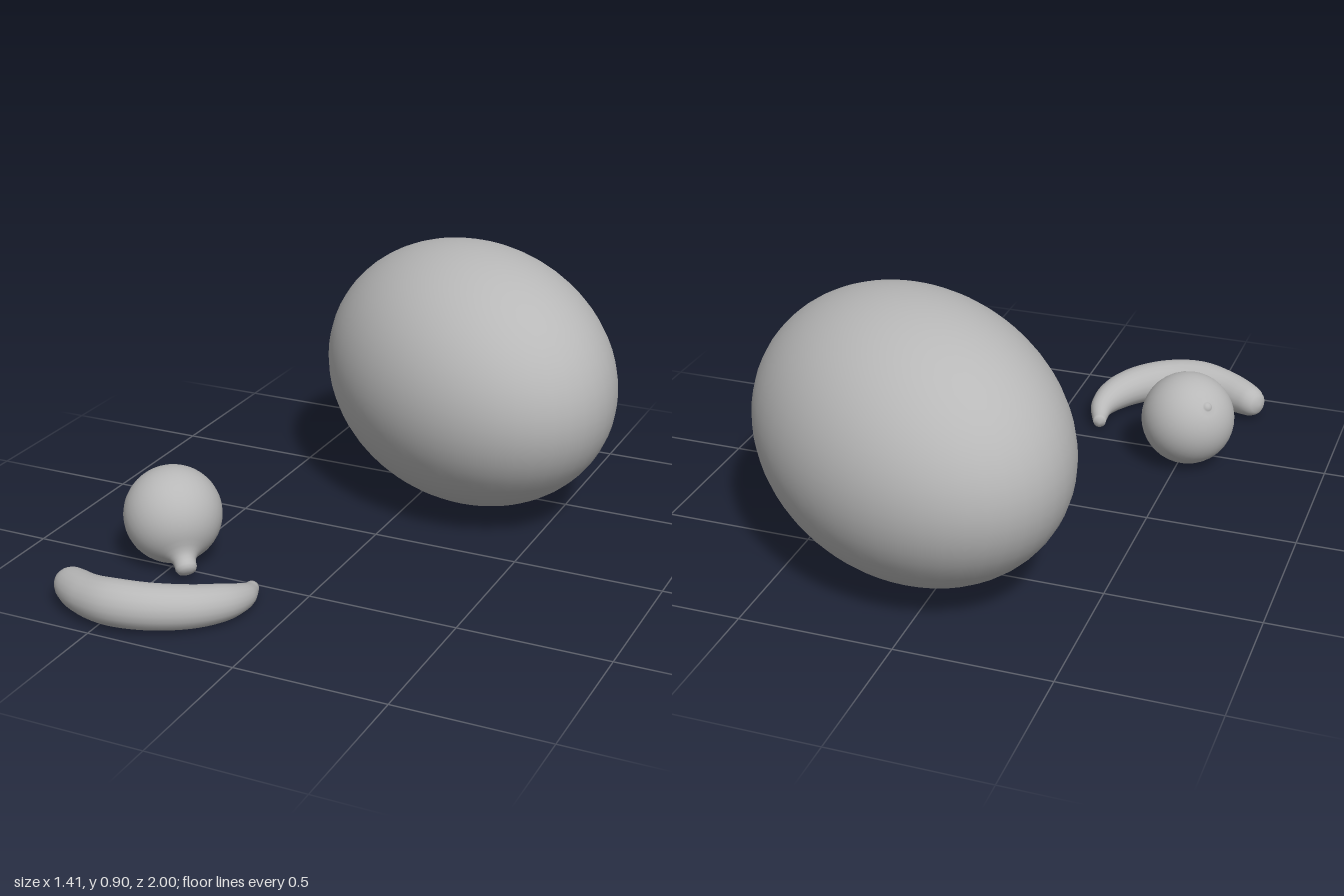
import * as THREE from 'three';
import { mergeVertices } from 'three/addons/utils/BufferGeometryUtils.js';

const grey = new THREE.MeshStandardMaterial({ color: 0xb8b8b8 });
grey.name = 'plain grey';

function part(name, geometry) {
  const mesh = new THREE.Mesh(geometry, grey);
  mesh.name = name;
  return mesh;
}

// Weld the seams so that the normals run smoothly all round
function smooth(geometry) {
  geometry.deleteAttribute('uv');
  geometry.deleteAttribute('normal');
  const welded = mergeVertices(geometry, 1e-5);
  welded.computeVertexNormals();
  return welded;
}

// Tube whose radius follows the stations [x, y, z, radius]
function taperedTube(stations, segments, sides) {
  const path = new THREE.CatmullRomCurve3(stations.map(([x, y, z]) => new THREE.Vector3(x, y, z)));
  const radii = new THREE.CatmullRomCurve3(stations.map((s, i) => new THREE.Vector3(s[3], i * 0.1, 0)));
  const geometry = new THREE.TubeGeometry(path, segments, 1, sides);
  const pos = geometry.attributes.position;
  const p = new THREE.Vector3();
  for (let i = 0; i <= segments; i++) {
    const u = i / segments;
    const centre = path.getPointAt(u);
    const end = i === 0 || i === segments;
    const r = end ? 0 : Math.max(0, radii.getPoint(path.getUtoTmapping(u)).x);
    for (let j = 0; j <= sides; j++) {
      const k = i * (sides + 1) + j;
      p.fromBufferAttribute(pos, k).sub(centre).multiplyScalar(r).add(centre);
      pos.setXYZ(k, p.x, p.y, p.z);
    }
  }
  return smooth(geometry);
}

export function createModel() {
  const model = new THREE.Group();
  model.name = 'fruit set';

  // Large melon lying on its side
  const melon = part('melon', new THREE.SphereGeometry(1, 48, 32));
  melon.scale.set(0.618, 0.448, 0.45);
  melon.rotation.y = THREE.MathUtils.degToRad(-36.3);
  melon.position.set(0.135, 0.45, -0.485);
  model.add(melon);

  // Round fruit with a flared neck at one end and a small bud at the other
  const R = 0.161;
  const profile = [[0, -0.168], [0.008, -0.167], [0.014, -0.163], [0.018, -0.158]];
  for (let a = 12; a <= 150; a += 6) {
    const t = THREE.MathUtils.degToRad(a);
    profile.push([R * Math.sin(t), -R * Math.cos(t)]);
  }
  profile.push([0.062, 0.15], [0.047, 0.161], [0.037, 0.175], [0.035, 0.19],
    [0.035, 0.202], [0.029, 0.213], [0.016, 0.219], [0, 0.22]);
  const round = part('roundFruit',
    smooth(new THREE.LatheGeometry(profile.map(([x, y]) => new THREE.Vector2(x, y)), 36)));
  round.quaternion.setFromUnitVectors(
    new THREE.Vector3(0, 1, 0), new THREE.Vector3(0.108, -0.12, 0.112).normalize());
  round.position.set(-0.52, 0.164, 0.447);
  model.add(round);

  // Curved banana, blunt at one end and narrow at the other
  model.add(part('banana', taperedTube([
    [-0.700, 0.070, 0.815, 0],
    [-0.690, 0.069, 0.822, 0.034],
    [-0.668, 0.066, 0.838, 0.052],
    [-0.625, 0.066, 0.866, 0.062],
    [-0.550, 0.072, 0.903, 0.068],
    [-0.450, 0.080, 0.922, 0.074],
    [-0.340, 0.079, 0.900, 0.073],
    [-0.235, 0.070, 0.833, 0.068],
    [-0.170, 0.058, 0.745, 0.058],
    [-0.148, 0.045, 0.665, 0.042],
    [-0.158, 0.032, 0.598, 0.027],
    [-0.167, 0.030, 0.568, 0.021],
    [-0.170, 0.030, 0.560, 0],
  ], 72, 20)));

  return model;
}
